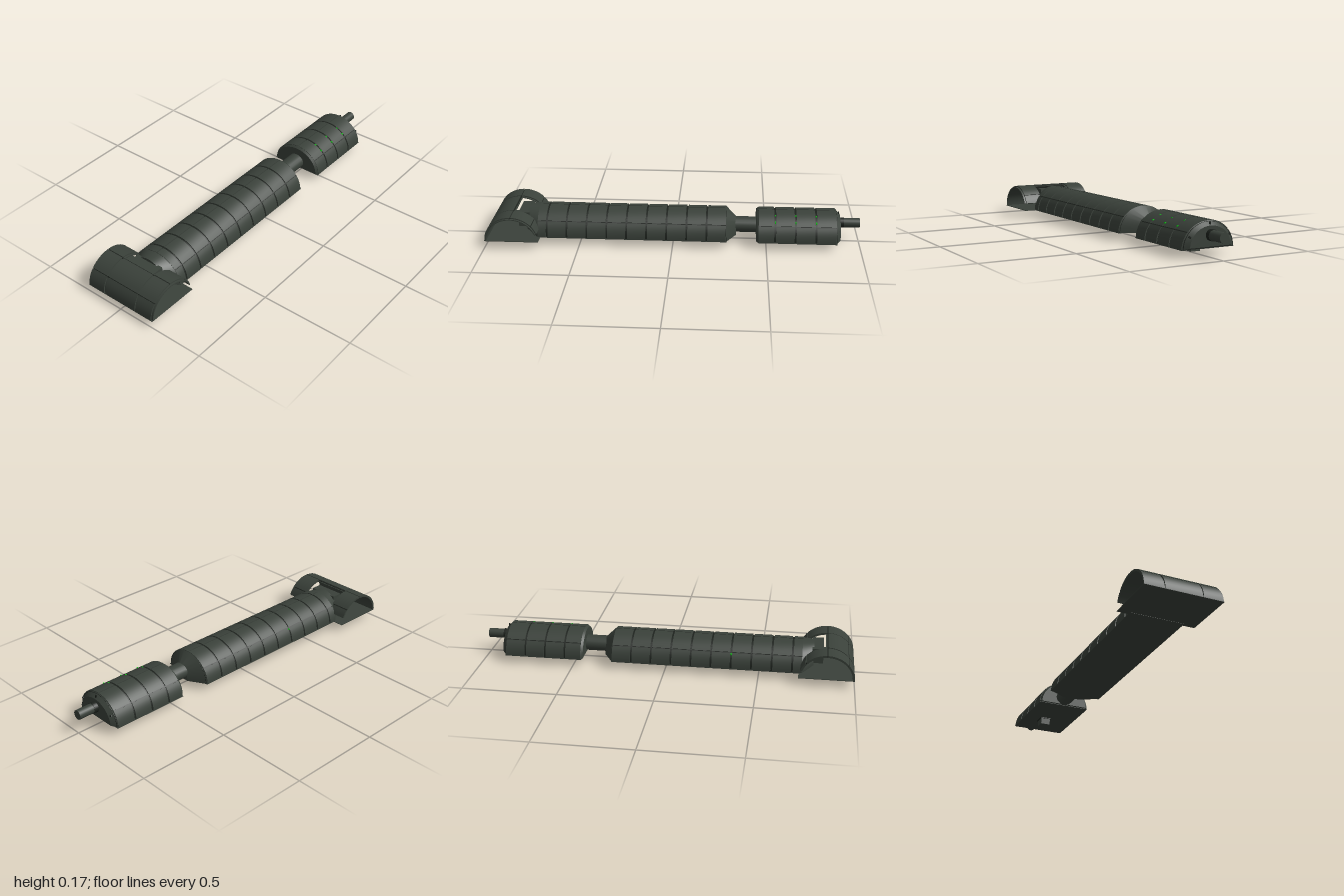
import * as THREE from 'three';
import { toCreasedNormals } from 'three/addons/utils/BufferGeometryUtils.js';

const mat = (name, color) => Object.assign(new THREE.MeshStandardMaterial({ color }), { name });
const BASE = 0.04, RISE = 0.135, HALF = 0.147, ZC = -0.003;
const rad = THREE.MathUtils.degToRad;

// Solid with dome-shaped cross-sections along x: [x, halfWidth, bottom, height]
function domeLoft(sections, n = 28) {
  const pos = [], idx = [], ring = n + 1;
  for (const [x, w, y, h] of sections) {
    for (let j = 0; j <= n; j++) {
      const a = Math.PI * j / n;
      pos.push(x, y + h * Math.sin(a), w * Math.cos(a));
    }
  }
  for (let i = 0; i < sections.length - 1; i++) {
    for (let j = 0; j < ring; j++) {
      const k = (j + 1) % ring, a = i * ring, b = a + ring;
      idx.push(a + j, b + j, b + k, a + j, b + k, a + k);
    }
  }
  const last = (sections.length - 1) * ring;
  for (let j = 1; j < n; j++) idx.push(0, j, j + 1, last, last + j + 1, last + j);
  const g = new THREE.BufferGeometry();
  g.setAttribute('position', new THREE.Float32BufferAttribute(pos, 3));
  g.setIndex(idx);
  return toCreasedNormals(g, 0.5);
}

// Curved plate between two angles of an ellipse, extruded along z
function arcPlate(rx, ry, thick, a0, a1, depth) {
  const pts = [], n = Math.max(3, Math.ceil((a1 - a0) / 7));
  const add = (i, t) => {
    const a = rad(a0 + (a1 - a0) * i / n);
    pts.push(new THREE.Vector2((rx - t) * Math.cos(a), (ry - t) * Math.sin(a)));
  };
  for (let i = 0; i <= n; i++) add(i, 0);
  for (let i = n; i >= 0; i--) add(i, thick);
  const g = new THREE.ExtrudeGeometry(new THREE.Shape(pts), { depth, bevelEnabled: false });
  return toCreasedNormals(g, 0.5);
}

export function createModel() {
  const root = new THREE.Group();
  const hull = mat('dark grey green hull', 0x3a413a);
  const seam = mat('near black seams', 0x1d221d);
  const green = mat('bright green lights', 0x14c81a);

  const add = (parent, name, geo, material, x = 0, y = 0, z = 0) => {
    const m = new THREE.Mesh(geo, material);
    m.name = name;
    m.position.set(x, y, z);
    parent.add(m);
    return m;
  };
  const box = (parent, name, w, h, d, material, x, y, z) =>
    add(parent, name, new THREE.BoxGeometry(w, h, d), material, x, y, z);
  const group = (name) => {
    const g = new THREE.Group();
    g.name = name;
    root.add(g);
    return g;
  };

  // Vaulted hall: dark core, flat floor and panels separated by narrow seams
  const SECTORS = [[0, 37], [39, 89], [91, 141], [143, 180]];
  function vault(name, edges) {
    const g = group(name);
    g.position.z = ZC;
    const x0 = edges[0], x1 = edges[edges.length - 1];
    add(g, 'core', domeLoft([[x0, HALF - 0.006, BASE + 0.001, RISE - 0.007], [x1, HALF - 0.006, BASE + 0.001, RISE - 0.007]]), seam);
    box(g, 'floor', x1 - x0, 0.003, HALF * 2, hull, (x0 + x1) / 2, BASE + 0.0005, 0);
    for (let i = 0; i < edges.length - 1; i++) {
      const len = edges[i + 1] - edges[i] - 0.01;
      for (const [a, b] of SECTORS) {
        const p = add(g, 'wallPanel', arcPlate(HALF, RISE, 0.008, a, b, len), hull, edges[i] + 0.005, BASE, 0);
        p.rotation.y = Math.PI / 2;
      }
    }
    return g;
  }

  // Long main hall with tapered ends
  const mainEdges = [-0.73];
  for (let i = 0; i < 10; i++) mainEdges.push(-0.675 + i * 0.107);
  const main = vault('mainHall', mainEdges);
  add(main, 'innerTaper', domeLoft([[-0.785, 0.1, 0.07, 0.1], [-0.725, HALF - 0.002, BASE, RISE - 0.002]]), hull);
  add(main, 'outerTaper', domeLoft([[0.284, HALF - 0.001, BASE, RISE - 0.001], [0.338, 0.05, BASE, 0.085]]), hull);
  box(main, 'hallNeck', 0.06, 0.08, 0.16, hull, -0.805, 0.115, 0);

  // Short end hall with bevelled ends
  const end = vault('endHall', [0.452, 0.545, 0.653, 0.762, 0.873]);
  add(end, 'innerEnd', domeLoft([[0.445, HALF - 0.012, BASE + 0.004, RISE - 0.015], [0.457, HALF - 0.002, BASE, RISE - 0.002]]), hull);
  add(end, 'outerEnd', domeLoft([[0.866, HALF - 0.001, BASE, RISE - 0.001], [0.892, 0.115, 0.05, 0.1]]), hull);
  // Seams on the end wall
  for (const deg of [30, 90, 150]) {
    const a = rad(deg);
    const s = box(end, 'endSeam', 0.006, 0.035, 0.008, seam, 0.884, BASE + 0.111 * Math.sin(a), 0.118 * Math.cos(a));
    s.rotation.x = Math.PI / 2 - a;
  }

  // Connecting passage
  const passage = add(root, 'passage', new THREE.CylinderGeometry(0.042, 0.042, 0.14, 20), hull, 0.395, 0.083, ZC);
  passage.rotation.z = Math.PI / 2;
  passage.scale.x = 1;
  passage.scale.z = 1.15;

  // Nose tube with collar
  const nose = group('noseTube');
  for (const [r, x0, x1, m, name] of [[0.028, 0.88, 0.915, seam, 'collar'], [0.0255, 0.88, 1, hull, 'tube']]) {
    add(nose, name, new THREE.CylinderGeometry(r, r, x1 - x0, 24), m, (x0 + x1) / 2, 0.106, ZC).rotation.z = Math.PI / 2;
  }

  // Foot below the end hall
  box(root, 'foot', 0.056, 0.036, 0.054, hull, 0.7, 0.018, -0.03);
  box(root, 'footPlate', 0.066, 0.006, 0.06, seam, 0.7, 0.037, -0.03);

  // Cross hall: hollow arch open at both ends and toward the main hall
  const cross = group('crossHall');
  const CX = -0.855, RX = 0.145;
  box(cross, 'crossFloor', 0.29, 0.003, 0.42, hull, CX, BASE + 0.0015, 0);
  const bays = [
    [-0.21, -0.11, [[19, 40], [42, 89], [91, 139], [141, 180]]],
    [-0.1, 0.095, [[91, 139], [141, 180]]],
    [0.1, 0.2, [[19, 40], [42, 89], [91, 139], [141, 180]]],
  ];
  for (const [z0, z1, sectors] of bays) {
    for (const [a, b] of sectors) {
      add(cross, 'archPanel', arcPlate(RX, RISE, 0.007, a, b, z1 - z0), hull, CX, BASE, z0);
    }
  }
  for (const [z0, z1, a0] of [[-0.209, -0.1, 19], [-0.1, 0.1, 86], [0.1, 0.21, 19]]) {
    add(cross, 'archLining', arcPlate(RX - 0.006, RISE - 0.006, 0.005, a0, 180, z1 - z0), hull, CX, BASE, z0);
  }
  // Dark strips along the seams of the arch
  for (const a of [41, 90, 140]) {
    for (const [z0, z1] of a > 89 ? [[-0.209, 0.2]] : [[-0.209, -0.11], [0.1, 0.2]]) {
      add(cross, 'archSeam', arcPlate(RX - 0.004, RISE - 0.004, 0.003, a - 1.5, a + 1.5, z1 - z0), seam, CX, BASE, z0);
    }
  }

  // Small lights set in the seams
  for (const x of [0.545, 0.653, 0.762]) {
    box(root, 'seamLight', 0.006, 0.008, 0.012, green, x, 0.138, 0.094);
    box(root, 'seamLight', 0.006, 0.006, 0.01, green, x, 0.161, 0.055);
  }
  box(root, 'seamLight', 0.006, 0.008, 0.01, green, -0.354, 0.113, -0.12);

  return root;
}
